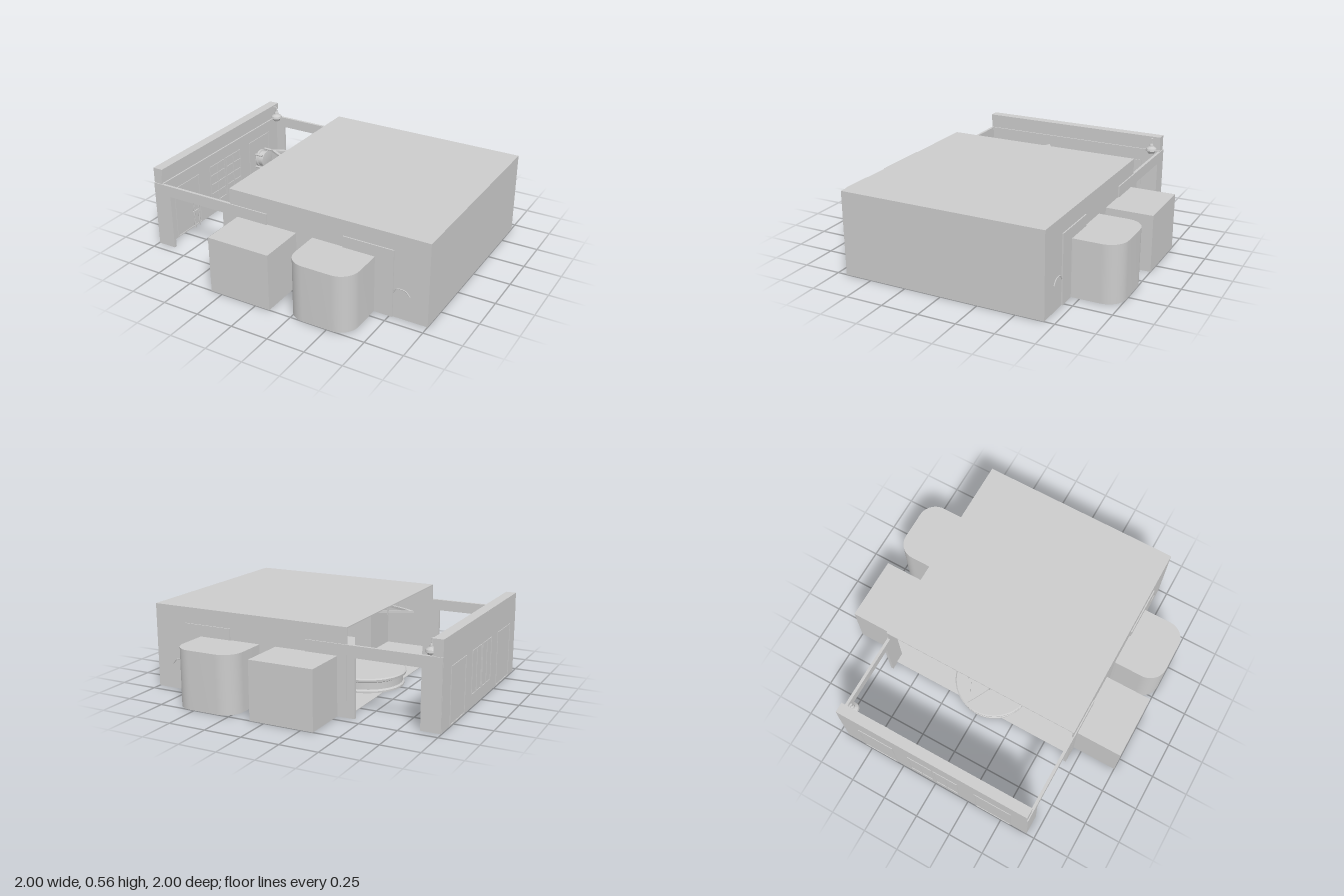
import * as THREE from 'three';
import { toCreasedNormals } from 'three/addons/utils/BufferGeometryUtils.js';

const T = 0.008; // thickness of the shell
const BAY_H = 0.38, ROOF = 0.56, HALF = 0.685;

export function createModel() {
  const model = new THREE.Group();
  const mat = new THREE.MeshStandardMaterial({ color: 0xcccccc, side: THREE.DoubleSide });

  const add = (name, geo, parent = model) => {
    const mesh = new THREE.Mesh(geo, mat);
    mesh.name = name;
    parent.add(mesh);
    return mesh;
  };
  // Box given by its limits on each axis
  const box = (name, x0, x1, y0, y1, z0, z1, parent) => {
    const geo = new THREE.BoxGeometry(x1 - x0, y1 - y0, Math.abs(z1 - z0));
    return add(name, geo.translate((x0 + x1) / 2, (y0 + y1) / 2, (z0 + z1) / 2), parent);
  };
  // Plan outline (x, z) raised from y0 to y1
  const prism = (name, points, y0, y1, parent) => {
    const shape = new THREE.Shape(points);
    const geo = new THREE.ExtrudeGeometry(shape, { depth: y1 - y0, bevelEnabled: false });
    geo.rotateX(Math.PI / 2).translate(0, y1, 0);
    return add(name, toCreasedNormals(geo, 0.5), parent);
  };
  // Three-sided outline of a bay, with its two outer corners rounded by r
  const bayOutline = (x0, x1, z1, r, s) => {
    const pts = [[x0, HALF - T]];
    const n = r > 0 ? 12 : 0;
    for (const [cx, a0] of [[x0 + r, Math.PI], [x1 - r, Math.PI / 2]]) {
      for (let i = 0; i <= n; i++) {
        const a = a0 - (n ? i / n : 0) * Math.PI / 2;
        pts.push(r > 0 ? [cx + r * Math.cos(a), z1 - r + r * Math.sin(a)] : [cx, z1]);
      }
    }
    pts.push([x1, HALF - T]);
    return pts.map(([x, z]) => new THREE.Vector2(x, s * z));
  };

  // Main hall: open towards the entrance
  box('hallFloor', -0.39, 1, 0, 0.004, -HALF, HALF);
  box('hallRoof', -0.39, 1, ROOF - T, ROOF, -HALF, HALF);
  box('hallEndWall', 1 - T, 1, 0, ROOF, -HALF, HALF);

  const bays = [[-0.33, 0.1, 0], [0.215, 0.648, 0.12]];
  for (const s of [1, -1]) {
    const side = new THREE.Group();
    side.name = s > 0 ? 'frontSide' : 'backSide';
    model.add(side);

    // Hall side wall, notched where the bays open
    const wall = new THREE.Shape();
    wall.moveTo(-0.39, 0);
    for (const [x0, x1] of bays) {
      wall.lineTo(x0, 0).lineTo(x0, BAY_H).lineTo(x1, BAY_H).lineTo(x1, 0);
    }
    wall.lineTo(1, 0).lineTo(1, ROOF).lineTo(-0.39, ROOF);
    const wallGeo = new THREE.ExtrudeGeometry(wall, { depth: T, bevelEnabled: false });
    add('hallSideWall', wallGeo.translate(0, 0, s > 0 ? HALF - T : -HALF), side);

    // Square bay and rounded bay
    for (const [x0, x1, r] of bays) {
      const outer = bayOutline(x0, x1, 1, r, s);
      const inner = bayOutline(x0 + T, x1 - T, 1 - T, Math.max(0, r - T), s);
      prism('bayWall', [...outer, ...inner.reverse()], 0, BAY_H, side);
      prism('bayFloor', outer, 0, 0.004, side);
      prism('bayRoof', outer, BAY_H - T, BAY_H, side);
    }

    // Thin facing panels, split around the bays
    const panel = (name, x0, x1, y0, y1) =>
      box(name, x0, x1, y0, y1, s * (HALF - 0.002), s * (HALF + 0.008), side);
    panel('facing', -0.39, -0.33, 0, 0.455);
    panel('facing', -0.33, -0.11, BAY_H, 0.455);
    panel('doorPanel', 0.43, 0.648, BAY_H, 0.455);
    panel('doorPanel', 0.648, 0.77, 0, 0.455);

    // Small handrail beside the door panel
    const rail = new THREE.CatmullRomCurve3([[0.77, 0.17], [0.79, 0.2], [0.85, 0.2], [0.88, 0.17]]
      .map(([x, y]) => new THREE.Vector3(x, y, s * (HALF + 0.002))));
    add('handrail', new THREE.TubeGeometry(rail, 16, 0.004, 6), side);

    // Entrance gateway
    const za = s * 0.673, zb = s * 0.692;
    box('gateLintel', -0.995, -0.39, BAY_H, 0.455, za, zb, side);
    box('gatePost', -0.995, -0.868, 0, BAY_H, za, zb, side);
    box('gatePost', -0.445, -0.39, 0, BAY_H, za, zb, side);
  }

  // Entrance wall with cap and ledge
  const entry = new THREE.Group();
  entry.name = 'entranceWall';
  model.add(entry);
  box('wallSlab', -0.996, -0.935, 0, 0.555, -HALF, HALF, entry);
  box('wallCap', -0.996, -0.927, 0.515, ROOF, -HALF, HALF, entry);
  box('wallLedge', -0.94, -0.925, 0.44, 0.46, -HALF, HALF, entry);

  // Frames with bars, on both faces of the wall
  const frame = (name, z0, z1, y0, y1, cols, rows) => {
    for (const [x0, x1] of [[-1, -0.994], [-0.937, -0.93]]) {
      const b = 0.007;
      for (let i = 0; i <= cols; i++) {
        const z = z0 + (z1 - z0) * i / cols;
        box(name + 'Upright', x0, x1, y0, y1, z - b / 2, z + b / 2, entry);
      }
      const n = x0 < -0.95 ? 1 : rows;
      for (let j = 0; j <= n; j++) {
        const y = y0 + (y1 - y0 - b) * j / n;
        box(name + 'Rail', x0, x1, y, y + b, z0, z1, entry);
      }
    }
  };
  frame('door', -0.55, -0.3, 0.003, 0.37, 1, 1);
  frame('window', -0.18, -0.01, 0.08, 0.37, 2, 4);
  frame('window', 0.01, 0.18, 0.08, 0.37, 2, 4);
  frame('door', 0.31, 0.57, 0.003, 0.37, 1, 1);

  // Round drum on the door, with bracket knobs
  const drum = new THREE.LatheGeometry([[0, 0], [0.066, 0], [0.066, 0.012], [0.056, 0.016],
    [0.056, 0.05], [0.064, 0.053], [0.064, 0.06], [0.045, 0.063], [0, 0.063]]
    .map(([r, h]) => new THREE.Vector2(r, h)), 32);
  drum.rotateZ(-Math.PI / 2).translate(-0.935, 0.2, -0.44);
  add('drum', toCreasedNormals(drum, 0.5), entry);
  for (const dz of [-0.062, 0.062]) for (const dy of [-0.05, 0.05]) {
    const knob = new THREE.CylinderGeometry(0.008, 0.008, 0.06, 10);
    add('drumKnob', knob.rotateZ(Math.PI / 2).translate(-0.905, 0.2 + dy, -0.44 + dz), entry);
  }

  // Lamp on a bracket
  const lamp = new THREE.LatheGeometry([[0, 0.44], [0.022, 0.442], [0.028, 0.455], [0.04, 0.465],
    [0.036, 0.48], [0.016, 0.495], [0.012, 0.51], [0.006, 0.515], [0.006, 0.55], [0, 0.55]]
    .map(([r, h]) => new THREE.Vector2(r, h)), 24);
  add('lamp', toCreasedNormals(lamp.translate(-0.905, 0, -0.63), 0.6), entry);
  box('lampBracket', -0.935, -0.9, 0.54, 0.55, -0.635, -0.625, entry);

  // Two slim stands with crossed handles
  for (const z of [0.35, 0.4]) {
    const post = new THREE.CylinderGeometry(0.004, 0.005, 0.24, 8);
    add('stand', post.translate(-0.92, 0.12, z), entry);
    for (const a of [Math.PI / 4, -Math.PI / 4]) {
      const bar = new THREE.BoxGeometry(0.03, 0.006, 0.005).rotateY(a);
      add('standHandle', bar.translate(-0.92, 0.2, z), entry);
    }
  }
  box('standRail', -0.925, -0.917, 0.12, 0.127, 0.34, 0.41, entry);

  // Round counter just inside the opening
  const counter = new THREE.LatheGeometry([[0, 0.003], [0.255, 0.003], [0.255, 0.015], [0.245, 0.025],
    [0.245, 0.07], [0.266, 0.08], [0.268, 0.095], [0.26, 0.103], [0, 0.103]]
    .map(([r, h]) => new THREE.Vector2(r, h)), 48);
  add('counter', toCreasedNormals(counter.translate(-0.195, 0, 0), 0.6));

  // Pointed ceiling ring hung from the roof
  const lens = (x0, x1, w) => {
    const pts = [];
    for (const s of [1, -1]) for (let i = 0; i < 20; i++) {
      const t = i / 20;
      pts.push(new THREE.Vector2(s > 0 ? x0 + (x1 - x0) * t : x1 + (x0 - x1) * t, s * w * Math.sin(Math.PI * t)));
    }
    return pts;
  };
  const ring = new THREE.Shape(lens(-0.53, 0.14, 0.12));
  ring.holes.push(new THREE.Path(lens(-0.495, 0.105, 0.1)));
  const ringGeo = new THREE.ExtrudeGeometry(ring, { depth: 0.014, bevelEnabled: false });
  add('ceilingRing', ringGeo.rotateX(Math.PI / 2).translate(0, 0.527, 0));
  for (const z of [-0.075, 0.075]) box('ringHanger', -0.385, -0.375, 0.5, ROOF - T, z - 0.005, z + 0.005);

  return model;
}
